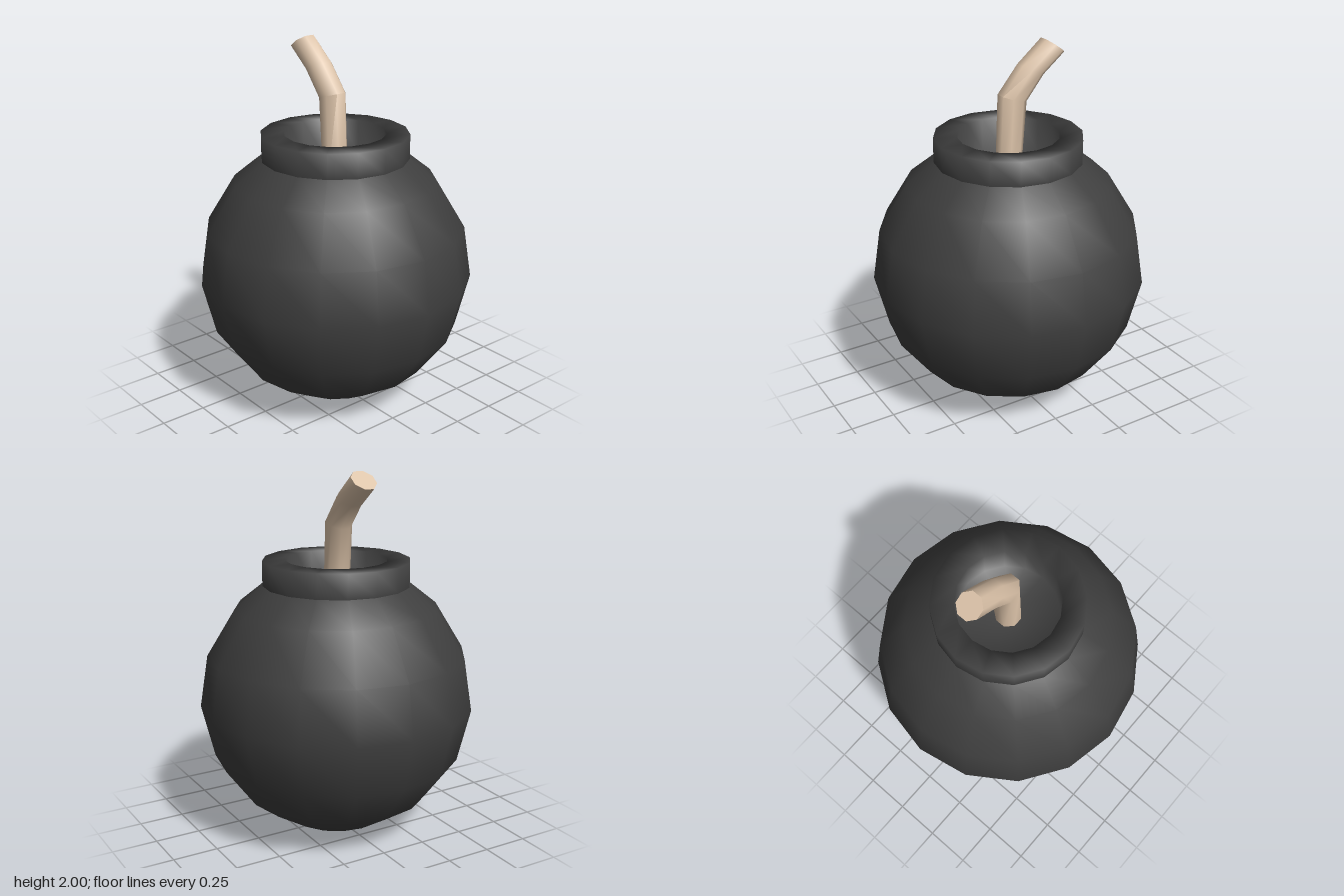
import * as THREE from 'three';
import { toCreasedNormals } from 'three/addons/utils/BufferGeometryUtils.js';

const SIDES = 16;

function lathe(name, profile, material) {
  const points = profile.map(([r, y]) => new THREE.Vector2(r, y));
  const mesh = new THREE.Mesh(new THREE.LatheGeometry(points, SIDES), material);
  mesh.name = name;
  return mesh;
}

// Bent octagonal rod; each ring is given by its front and back edge as [z, y]
function bentRod(rings, halfWidth) {
  const rows = rings.length - 1;
  const geometry = new THREE.CylinderGeometry(1, 1, rows, 8, rows, false, Math.PI / 8);
  const pos = geometry.attributes.position;
  const flat = Math.cos(Math.PI / 8);
  for (let i = 0; i < pos.count; i++) {
    const [front, back] = rings[Math.round(pos.getY(i) + rows / 2)];
    const x = pos.getX(i) / flat;
    const t = pos.getZ(i) / flat;
    const along = (k) => (front[k] + back[k]) / 2 + (t * (front[k] - back[k])) / 2;
    pos.setXYZ(i, x * halfWidth, along(1), along(0));
  }
  return toCreasedNormals(geometry, 1);
}

export function createModel() {
  const group = new THREE.Group();
  const iron = new THREE.MeshStandardMaterial({ color: 0x3f3f3f });
  const cord = new THREE.MeshStandardMaterial({ color: 0xdcc3a9 });

  // Round body
  group.add(lathe('body', [
    [0, 0], [0.275, 0.05], [0.51, 0.2], [0.68, 0.43], [0.75, 0.72],
    [0.705, 1.005], [0.55, 1.26], [0.4, 1.38],
  ], iron));

  // Collar: outer wall, rim, recessed cup
  group.add(lathe('collar', [
    [0.4, 1.38], [0.4, 1.515], [0.275, 1.515], [0.275, 1.33], [0, 1.33],
  ], iron));

  // Fuse rising from the cup and bending backwards
  const fuse = new THREE.Mesh(bentRod([
    [[0.065, 1.32], [-0.065, 1.32]],
    [[0.05, 1.735], [-0.095, 1.69]],
    [[-0.07, 1.88], [-0.2, 1.82]],
    [[-0.215, 2.0], [-0.325, 1.92]],
  ], 0.065), cord);
  fuse.name = 'fuse';
  group.add(fuse);

  return group;
}
